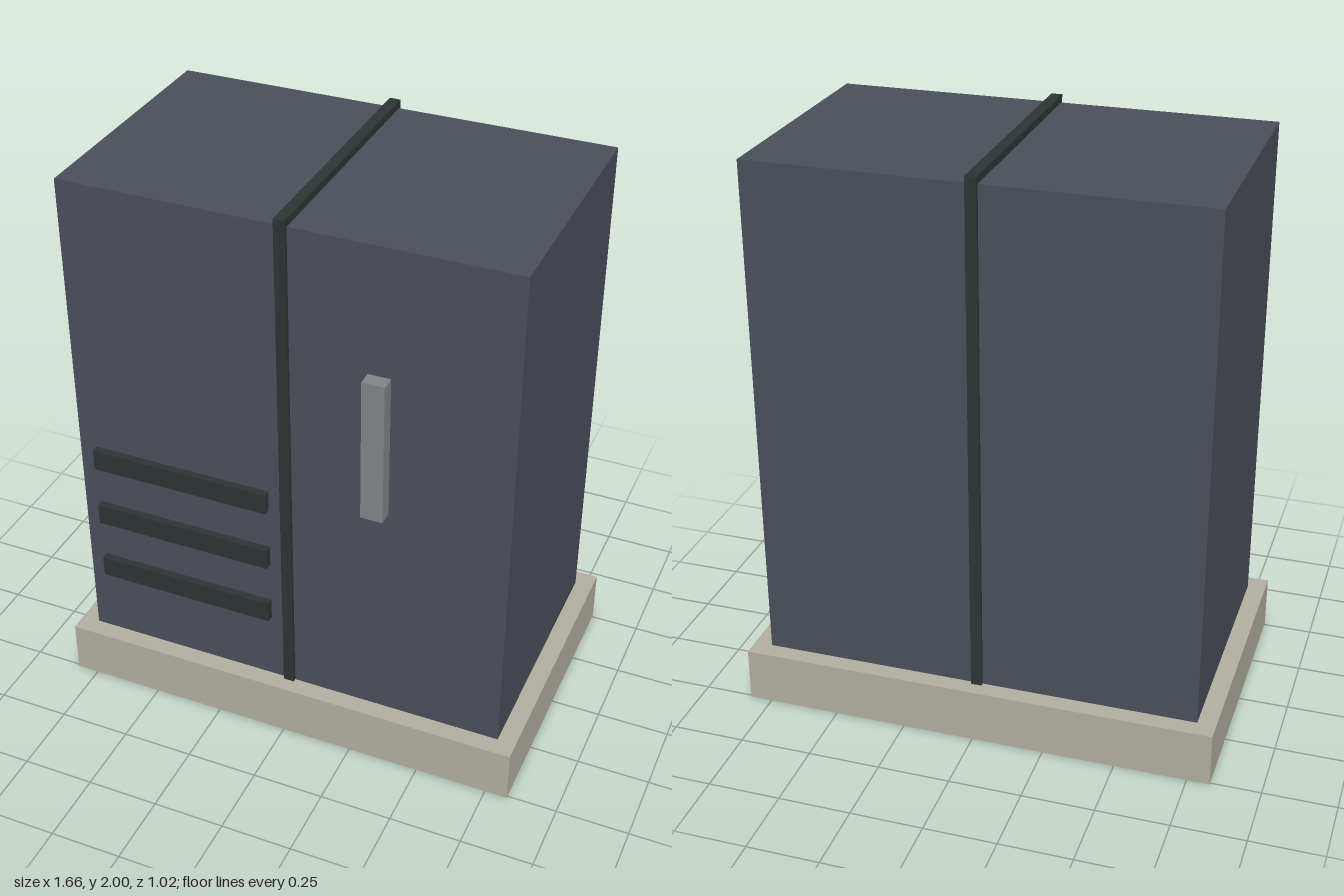
import * as THREE from 'three';

const material = (name, color) => {
  const m = new THREE.MeshStandardMaterial({ color });
  m.name = name;
  return m;
};

export function createModel() {
  const model = new THREE.Group();
  model.name = 'utilityCabinet';

  const concrete = material('concrete', 0xb0ada0);
  const slate = material('slate', 0x4a4e58);
  const darkTrim = material('darkTrim', 0x2d3434);
  const steel = material('steel', 0x808386);

  // Box given by its lower and upper limits on each axis
  const box = (name, mat, [x0, x1], [y0, y1], [z0, z1]) => {
    const mesh = new THREE.Mesh(new THREE.BoxGeometry(x1 - x0, y1 - y0, z1 - z0), mat);
    mesh.position.set((x0 + x1) / 2, (y0 + y1) / 2, (z0 + z1) / 2);
    mesh.name = name;
    model.add(mesh);
  };

  // Plinth and main body
  box('plinth', concrete, [-0.828, 0.828], [0, 0.191], [-0.508, 0.508]);
  box('cabinetBody', slate, [-0.764, 0.764], [0.191, 1.975], [-0.445, 0.445]);

  // Trim band wrapping front, top and back
  box('centreSeam', darkTrim, [-0.019, 0.019], [0.191, 2], [-0.458, 0.458]);

  // Ventilation slats on the right door
  for (let i = 0; i < 3; i++) {
    const y = 0.487 + i * 0.23;
    box(`ventSlat${i + 1}`, darkTrim, [-0.703, -0.065], [y - 0.038, y + 0.038], [0.44, 0.471]);
  }

  // Handle on the left door
  box('doorHandle', steel, [0.28, 0.356], [1.02, 1.53], [0.44, 0.496]);

  return model;
}
